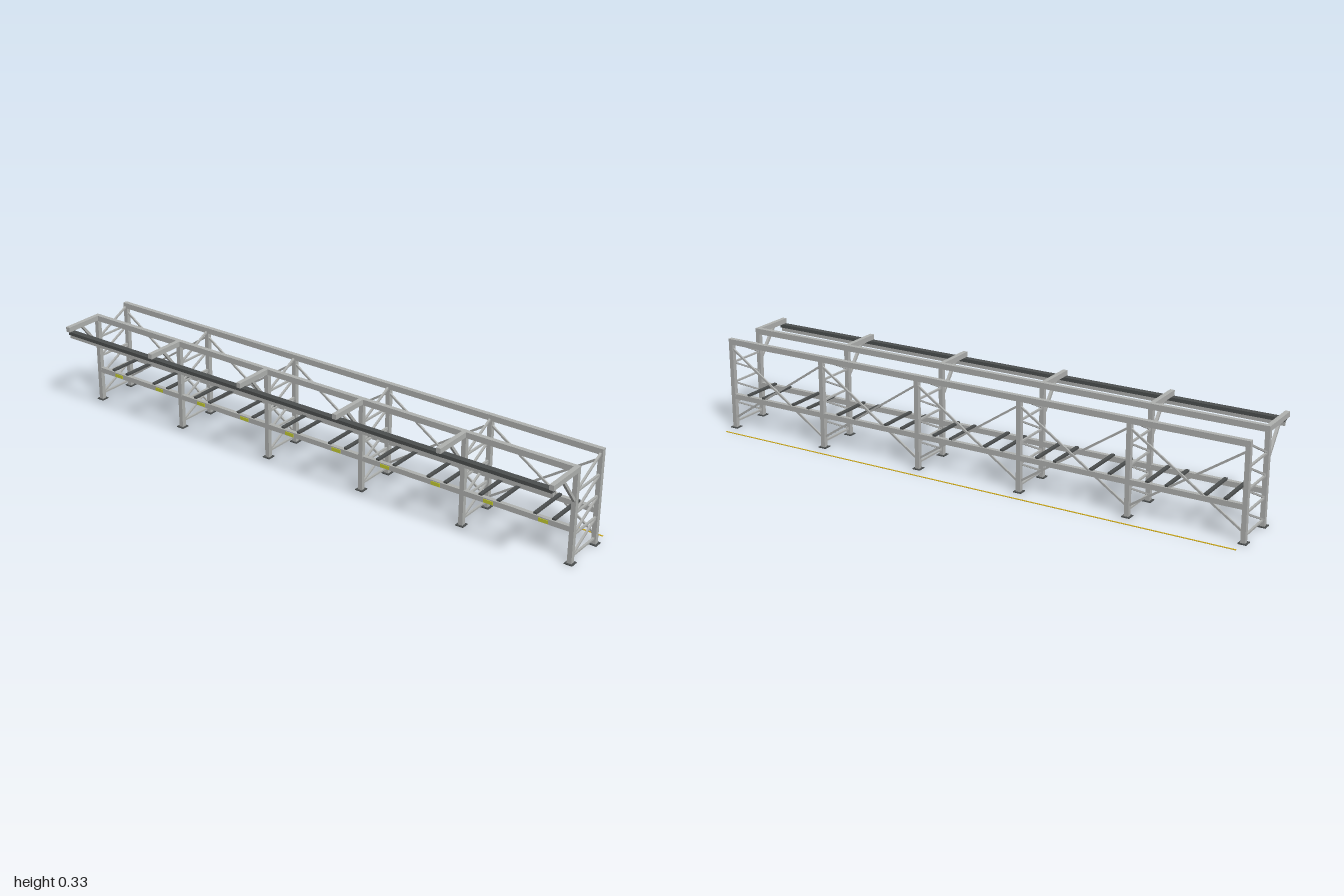
import * as THREE from 'three';

const mat = (name, color) => new THREE.MeshStandardMaterial({ name, color });

export function createModel() {
  const steel = mat('galvanised steel', 0xb0b2b0);
  const dark = mat('dark steel', 0x4c4f4f);
  const label = mat('label yellow', 0xc4cc30);
  const gold = mat('floor line yellow', 0xc8a416);

  const root = new THREE.Group();
  root.name = 'cantileverRack';

  const box = (parent, name, material, size, pos) => {
    const m = new THREE.Mesh(new THREE.BoxGeometry(...size), material);
    m.name = name;
    m.position.set(...pos);
    parent.add(m);
    return m;
  };
  // Square bar running between two points
  const bar = (parent, name, material, a, b, w, h) => {
    const p = new THREE.Vector3(...a), q = new THREE.Vector3(...b);
    const m = box(parent, name, material, [w, h, p.distanceTo(q)], p.clone().add(q).multiplyScalar(0.5).toArray());
    m.lookAt(q);
    return m;
  };

  const H = 0.334, END = 0.985, BAY = 0.394, W = 0.016;
  const ZF = 0.03, ZB = -0.121;

  // Upright frames with lacing, overhead arm and knee brace
  for (let i = 0; i < 6; i++) {
    const x = -END + i * BAY;
    const frame = new THREE.Group();
    frame.name = 'frame' + (i + 1);
    root.add(frame);
    for (const z of [ZF, ZB]) {
      box(frame, 'post', steel, [W, H, W], [x, H / 2, z]);
      box(frame, 'basePlate', dark, [0.029, 0.003, 0.029], [x, 0.0015, z]);
    }
    for (let k = 0; k < 4; k++) {
      const y = 0.023 + k * 0.0743;
      bar(frame, 'lacingHorizontal', steel, [x, y, ZF - 0.006], [x, y, ZB + 0.006], 0.007, 0.006);
      bar(frame, 'lacingDiagonal', steel, [x, y + 0.002, 0.025], [x, y + 0.073, -0.116], 0.007, 0.006);
    }
    box(frame, 'arm', steel, [W, 0.018, 0.16], [x, H - 0.009, 0.102]);
    bar(frame, 'kneeBrace', steel, [x, 0.32, 0.116], [x, 0.216, 0.032], 0.01, 0.009);
  }

  // Long beams at the top and at deck height
  for (const z of [ZF, ZB]) {
    box(root, 'topBeam', steel, [2 * END, 0.02, 0.0165], [0, H - 0.0102, z]);
    box(root, 'deckBeam', steel, [2 * END, 0.018, W - 0.001], [0, 0.12, z]);
  }

  // Crossed bracing in each rear bay
  for (let i = 0; i < 5; i++) {
    const x0 = -END + i * BAY, x1 = x0 + BAY;
    bar(root, 'crossBrace', steel, [x0, 0.3, ZB + 0.002], [x1, 0.036, ZB + 0.002], 0.006, 0.007);
    bar(root, 'crossBrace', steel, [x0, 0.036, ZB - 0.002], [x1, 0.3, ZB - 0.002], 0.006, 0.007);
  }

  // Deck crossbars in pairs, each pair with a front label
  for (let i = 0; i < 10; i++) {
    const c = -0.8865 + i * BAY / 2;
    for (const s of [-1, 1]) {
      box(root, 'deckCrossbar', dark, [0.012, 0.007, 0.155], [c + s * 0.033, 0.132, (ZF + ZB) / 2]);
    }
    box(root, 'shelfLabel', label, [0.035, 0.012, 0.002], [c, 0.119, 0.0385]);
  }

  // Overhead rail with its hanging web
  box(root, 'overheadRail', dark, [2 * END, 0.012, 0.022], [0, 0.31, 0.167]);
  box(root, 'railWeb', steel, [2 * END, 0.015, 0.008], [0, 0.297, 0.167]);

  // Painted line on the floor behind
  box(root, 'floorLine', gold, [2 * END, 0.001, 0.0065], [0, 0.0005, -0.1787]);

  return root;
}
